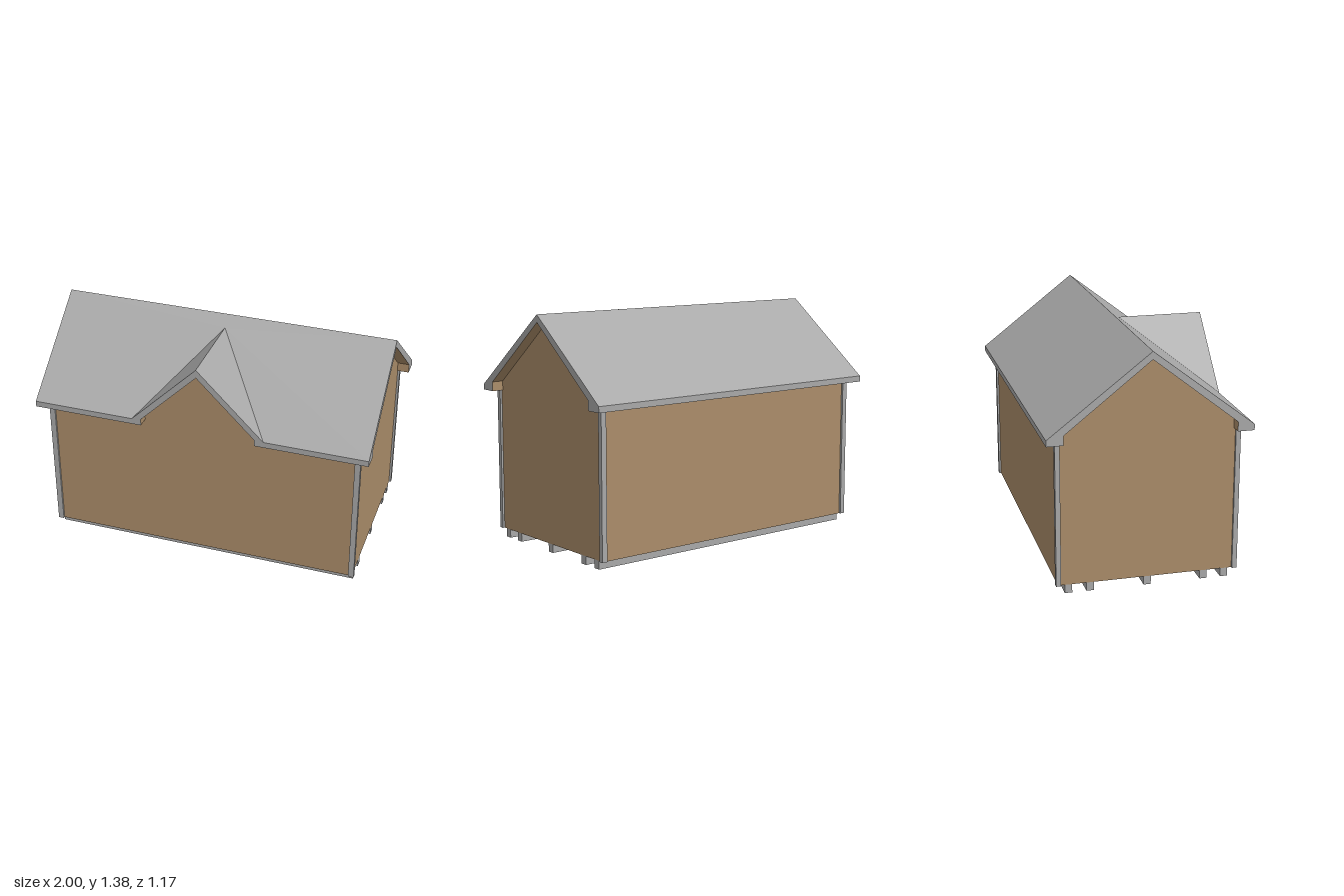
import * as THREE from 'three';

const grey = new THREE.MeshStandardMaterial({ color: 0xa8a8a8, side: THREE.DoubleSide });
grey.name = 'greyTrimAndRoofing';
const tan = new THREE.MeshStandardMaterial({ color: 0xaa8c69, side: THREE.DoubleSide });
tan.name = 'tanBoarding';

const W = 1, D = 0.583;                   // roof half length and half depth
const RIDGE = 1.375, EAVE = 0.925, SOFFIT = 0.89;
const IN_Z = 0.487, IN_X = 0.34;          // inner edges of the boxed eaves
const BASE = 0.05, WALL_X = 0.93, WALL_Z = 0.513, THICK = 0.02;

const roofTop = (x, z) => RIDGE - Math.abs(z) * (RIDGE - EAVE) / D;
const roofUnder = (x, z) => 1.33 - Math.abs(z) * 0.385 / IN_Z;
const dormerTop = (x) => 1.32 - Math.abs(x);
const dormerUnder = (x) => 1.27 - Math.abs(x);

const makeShape = (pts) => new THREE.Shape(pts.map(([a, b]) => new THREE.Vector2(a, b)));

export function createModel() {
  const model = new THREE.Group();
  model.name = 'shed';

  const add = (parent, name, geometry, material) => {
    const mesh = new THREE.Mesh(geometry, material);
    mesh.name = name;
    parent.add(mesh);
    return mesh;
  };
  // Flat face from a 2D outline, with each corner sent to 3D by a rule
  const panel = (parent, name, pts, place, material) => {
    const g = new THREE.ShapeGeometry(makeShape(pts));
    const p = g.attributes.position;
    for (let i = 0; i < p.count; i++) p.setXYZ(i, ...place(p.getX(i), p.getY(i)));
    g.computeVertexNormals();
    return add(parent, name, g, material);
  };
  // Outline in (x, -z), lifted to a height
  const sloped = (height) => (x, b) => [x, height(x, -b), -b];
  const plan = (pts) => pts.map(([x, z]) => [x, -z]);
  const rect = (x0, y0, x1, y1) => [[x0, y0], [x1, y0], [x1, y1], [x0, y1]];
  const group = (name) => {
    const g = new THREE.Group();
    g.name = name;
    model.add(g);
    return g;
  };

  // Walls, open underneath
  const walls = group('walls');
  const wall = (name, pts) => add(walls, name,
    new THREE.ExtrudeGeometry(makeShape(pts), { depth: THICK, bevelEnabled: false }), tan);
  wall('frontWall', [[-WALL_X, BASE], [WALL_X, BASE], [WALL_X, 0.93], [0.345, 0.93],
    [0, 1.275], [-0.345, 0.93], [-WALL_X, 0.93]]).position.z = WALL_Z - THICK;
  wall('backWall', rect(-WALL_X, BASE, WALL_X, 0.93)).position.z = -WALL_Z;
  for (const s of [-1, 1]) {
    const end = wall(s > 0 ? 'leftWall' : 'rightWall',
      [[-0.5, BASE], [0.5, BASE], [0.5, 0.94], [0, 1.335], [-0.5, 0.94]]);
    end.rotation.y = Math.PI / 2;
    end.position.x = s > 0 ? WALL_X - THICK : -WALL_X;
  }

  // Corner boards, an L of two strips at each corner
  const corners = group('cornerBoards');
  const h = SOFFIT - BASE, midY = BASE + h / 2;
  for (const sx of [-1, 1]) for (const sz of [-1, 1]) {
    add(corners, 'cornerBoardFace', new THREE.BoxGeometry(0.033, h, 0.012), grey)
      .position.set(sx * 0.9265, midY, sz * 0.519);
    add(corners, 'cornerBoardSide', new THREE.BoxGeometry(0.013, h, 0.028), grey)
      .position.set(sx * 0.9365, midY, sz * 0.511);
  }

  // Skids
  const skids = group('skids');
  for (const z of [-0.453, -0.33, 0, 0.33, 0.453]) {
    add(skids, 'skid', new THREE.BoxGeometry(2 * WALL_X, BASE, 0.042), grey)
      .position.set(0, BASE / 2, z);
  }

  // Main roof: the front slope is notched for the dormer
  const roof = group('roof');
  const apexTop = (RIDGE - 1.32) * D / (RIDGE - EAVE);
  const apexUnder = 0.06 * IN_Z / 0.385;
  panel(roof, 'backSlope', plan(rect(-W, -D, W, 0)), sloped(roofTop), grey);
  panel(roof, 'frontSlope', plan([[-W, 0], [-W, D], [-0.395, D], [0, apexTop],
    [0.395, D], [W, D], [W, 0]]), sloped(roofTop), grey);
  panel(roof, 'backSlopeLining', plan(rect(-W, -IN_Z, W, 0)), sloped(roofUnder), tan);
  panel(roof, 'frontSlopeLining', plan([[-W, 0], [-W, IN_Z], [-0.325, IN_Z], [0, apexUnder],
    [0.325, IN_Z], [W, IN_Z], [W, 0]]), sloped(roofUnder), tan);

  // Rake boards on both gable ends
  for (const s of [-1, 1]) {
    panel(roof, 'rakeBoard', [[0, RIDGE], [D, EAVE], [D, SOFFIT], [IN_Z, SOFFIT], [IN_Z, 0.945],
      [0, 1.33], [-IN_Z, 0.945], [-IN_Z, SOFFIT], [-D, SOFFIT], [-D, EAVE]],
    (z, y) => [s * W, y, z], grey);
  }

  // Fascias
  panel(roof, 'backFascia', rect(-W, SOFFIT, W, EAVE), (x, y) => [x, y, -D], grey);
  panel(roof, 'frontFascia', [[W, SOFFIT], [W, EAVE], [0.395, EAVE], [0, 1.32], [-0.395, EAVE],
    [-W, EAVE], [-W, SOFFIT], [-IN_X, SOFFIT], [-IN_X, 0.93], [0, 1.27], [IN_X, 0.93],
    [IN_X, SOFFIT]], (x, y) => [x, y, D], grey);

  // Boxed eaves
  const eave = (x0, x1, s) => {
    panel(roof, 'soffit', rect(x0, IN_Z, x1, D), (x, z) => [x, SOFFIT, s * z], tan);
    panel(roof, 'eaveInnerFace', rect(x0, SOFFIT, x1, 0.945), (x, y) => [x, y, s * IN_Z], tan);
  };
  eave(-W, W, -1);
  eave(-W, -IN_X, 1);
  eave(IN_X, W, 1);

  // Dormer roof
  const dormer = group('dormer');
  for (const s of [-1, 1]) {
    panel(dormer, 'dormerSlope', plan([[0, apexTop], [0, D], [s * 0.395, D]]),
      sloped(dormerTop), grey);
    panel(dormer, 'dormerLining', plan([[0, apexUnder], [0, D], [s * IN_X, D],
      [s * IN_X, IN_Z], [s * 0.325, IN_Z]]), sloped(dormerUnder), tan);
    panel(dormer, 'eaveReturn', rect(IN_Z, SOFFIT, D, 0.93),
      (z, y) => [s * IN_X, y, z], tan);
  }

  return model;
}
